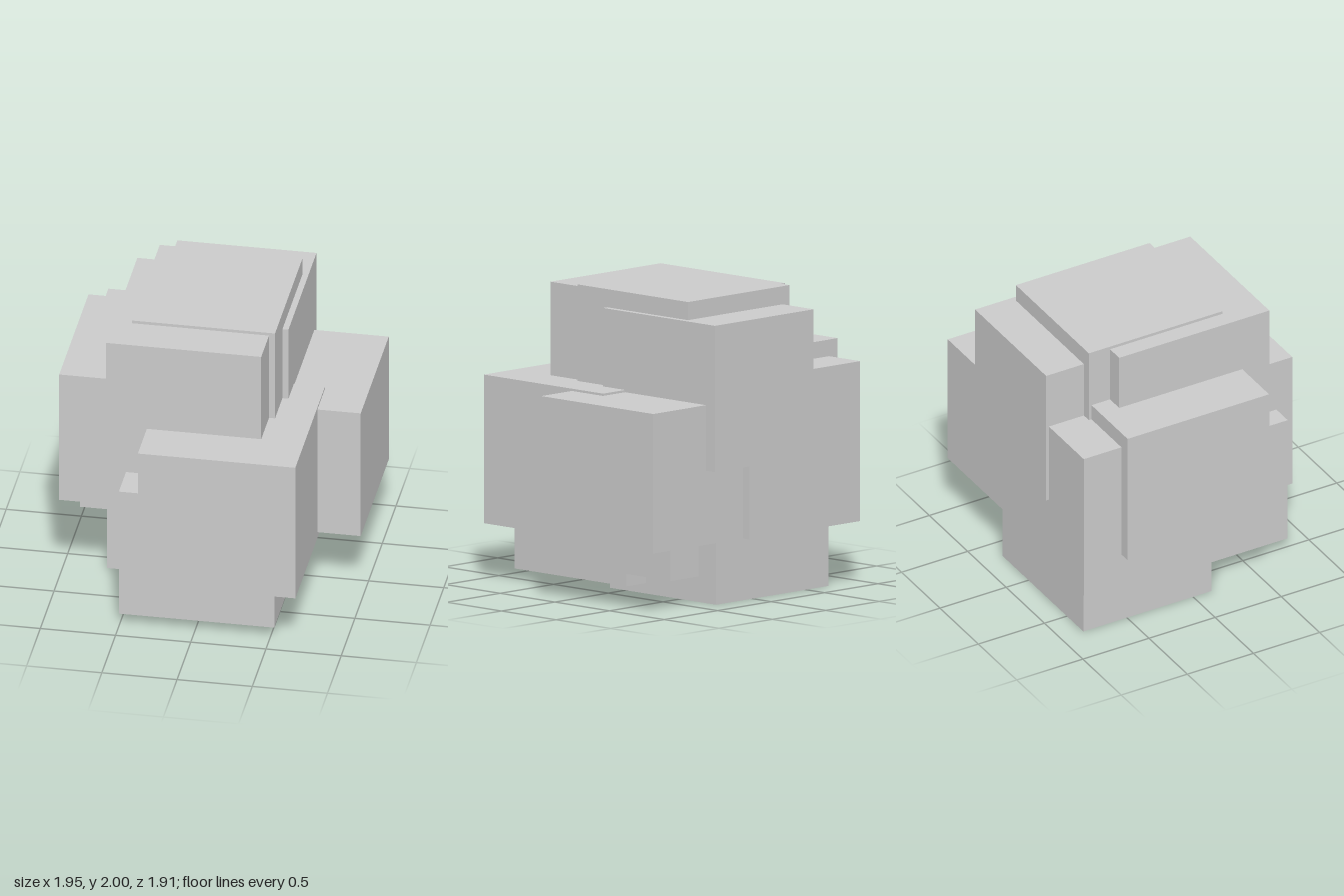
import * as THREE from 'three';

// Each block: name, then its extent [min, max] along x, y and z
const BLOCKS = [
  ['topBlock', [-0.51, 0.44], [1.0, 2.0], [-0.67, 0.34]],
  ['upperFrontBlock', [-0.63, 0.40], [1.02, 1.98], [-0.51, 0.625]],
  ['upperBackBlock', [-0.445, 0.48], [0.91, 1.88], [-0.955, 0.07]],
  ['frontBlock', [-0.36, 0.687], [0.375, 1.36], [-0.135, 0.955]],
  ['leftBlock', [-0.05, 0.975], [0.42, 1.345], [-0.875, 0.15]],
  ['rightBlock', [-0.98, 0.05], [0.645, 1.59], [-0.65, 0.42]],
  ['backBlock', [-0.90, 0.135], [0.42, 1.48], [-0.935, 0.1]],
  ['lowerFrontBlock', [-0.508, 0.525], [0.07, 0.99], [-0.19, 0.835]],
  ['lowerBackBlock', [-0.713, 0.34], [0.0, 1.0], [-0.83, 0.14]],
  ['lowerLeftBlock', [-0.43, 0.605], [0.17, 1.15], [-0.67, 0.465]],
];

export function createModel() {
  const model = new THREE.Group();
  model.name = 'blockCluster';
  const material = new THREE.MeshStandardMaterial({ color: 0xcccccc, flatShading: true });

  // Overlapping blocks around a shared core
  for (const [name, x, y, z] of BLOCKS) {
    const geometry = new THREE.BoxGeometry(x[1] - x[0], y[1] - y[0], z[1] - z[0]);
    const block = new THREE.Mesh(geometry, material);
    block.name = name;
    block.position.set((x[0] + x[1]) / 2, (y[0] + y[1]) / 2, (z[0] + z[1]) / 2);
    model.add(block);
  }
  return model;
}
